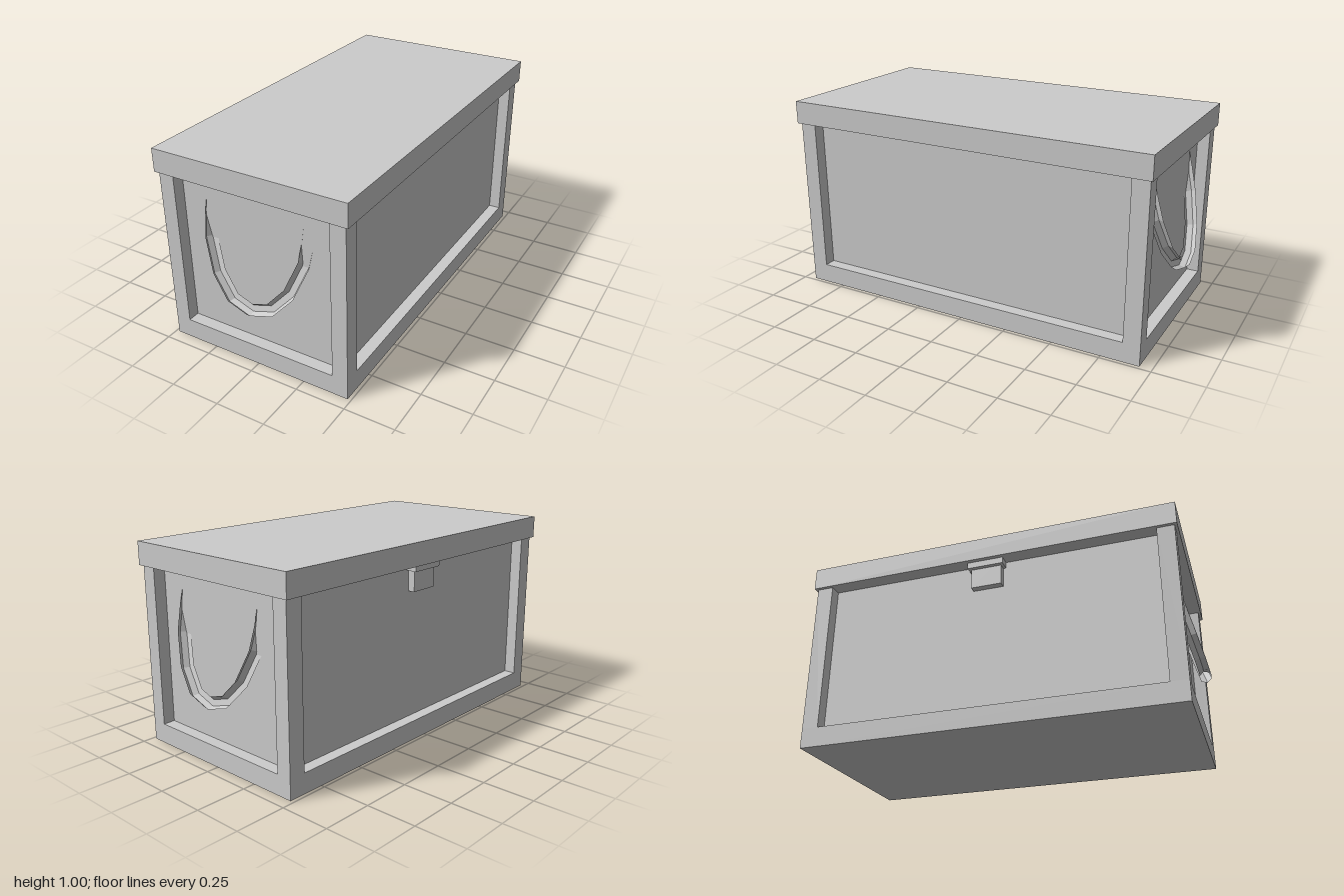
import * as THREE from 'three';

const material = new THREE.MeshStandardMaterial({ color: 0xcccccc, flatShading: true });

function add(parent, name, geometry, x = 0, y = 0, z = 0) {
  const mesh = new THREE.Mesh(geometry, material);
  mesh.name = name;
  mesh.position.set(x, y, z);
  parent.add(mesh);
  return mesh;
}

// Box given by its lower and upper corners
function box(parent, name, [x0, y0, z0], [x1, y1, z1]) {
  return add(parent, name, new THREE.BoxGeometry(x1 - x0, y1 - y0, z1 - z0),
    (x0 + x1) / 2, (y0 + y1) / 2, (z0 + z1) / 2);
}

// Sweeps a hexagonal section along a flat path in the XY plane, with mitred joints
function sweepHexagon(path, radius) {
  const sides = 6, positions = [], indices = [];
  path.forEach((p, i) => {
    const a = path[Math.max(i - 1, 0)], b = path[Math.min(i + 1, path.length - 1)];
    const t = b.clone().sub(a).normalize();
    for (let k = 0; k < sides; k++) {
      const angle = (k / sides) * Math.PI * 2;
      const r = radius * Math.cos(angle);
      positions.push(p.x + t.y * r, p.y - t.x * r, radius * Math.sin(angle));
    }
  });
  for (let i = 0; i < path.length - 1; i++) {
    for (let k = 0; k < sides; k++) {
      const a = i * sides + k, b = i * sides + (k + 1) % sides;
      indices.push(a, b, a + sides, b, b + sides, a + sides);
    }
  }
  // End caps
  const last = (path.length - 1) * sides;
  for (let k = 1; k < sides - 1; k++) {
    indices.push(0, k + 1, k, last, last + k, last + k + 1);
  }
  const geometry = new THREE.BufferGeometry();
  geometry.setAttribute('position', new THREE.Float32BufferAttribute(positions, 3));
  geometry.setIndex(indices);
  const flat = geometry.toNonIndexed();
  flat.computeVertexNormals();
  return flat;
}

export function createModel() {
  const chest = new THREE.Group();
  chest.name = 'chest';

  // Plinth
  const hx = 0.483, hz = 0.94, lidBottom = 0.885, base = 0.1;
  box(chest, 'base', [-hx, 0, -hz], [hx, base, hz]);

  // Walls: plan outline with a recessed panel between the corner posts on each side
  const px = 0.405, pz = 0.855, rx = 0.423, rz = 0.88;
  const quarter = [[hx, pz], [hx, hz], [px, hz], [px, rz]];
  const outline = [[rx, pz], ...quarter].map(([x, z]) => new THREE.Vector2(x, z));
  const flip = (sx, sy) => outline.map((p) => new THREE.Vector2(p.x * sx, p.y * sy));
  const plan = new THREE.Shape([
    ...outline, ...flip(-1, 1).reverse(), ...flip(-1, -1), ...flip(1, -1).reverse(),
  ]);
  const walls = new THREE.ExtrudeGeometry(plan, { depth: lidBottom - base, bevelEnabled: false });
  walls.rotateX(-Math.PI / 2);
  add(chest, 'panelledWalls', walls, 0, base, 0);

  // Lid
  box(chest, 'lid', [-0.5, lidBottom, -0.953], [0.5, 1, 0.953]);

  // Latch under the lid on one long side
  box(chest, 'latch', [-0.458, 0.75, -0.078], [-0.41, lidBottom, 0.078]);
  box(chest, 'latchPlate', [-0.478, 0.853, -0.092], [-0.41, lidBottom, 0.092]);

  // Hanging handles on both ends, tilted so their ends run into the panels
  const tilt = Math.atan(0.25), bottom = 0.327;
  const half = [[0.1, 0.355], [0.188, 0.452], [0.247, 0.6], [0.258, 0.715], [0.257, 0.84]];
  const points = [...half.map(([x, y]) => [-x, y]).reverse(), [0, bottom], ...half];
  const path = points.map(([x, y]) => new THREE.Vector2(x, (y - bottom) / Math.cos(tilt)));
  const handleGeometry = sweepHexagon(path, 0.03);
  for (const [name, turn] of [['frontHandle', 0], ['backHandle', Math.PI]]) {
    const group = new THREE.Group();
    group.name = name;
    group.rotation.y = turn;
    add(group, name + 'Loop', handleGeometry, 0, bottom, 0.971).rotation.x = -tilt;
    chest.add(group);
  }

  return chest;
}
